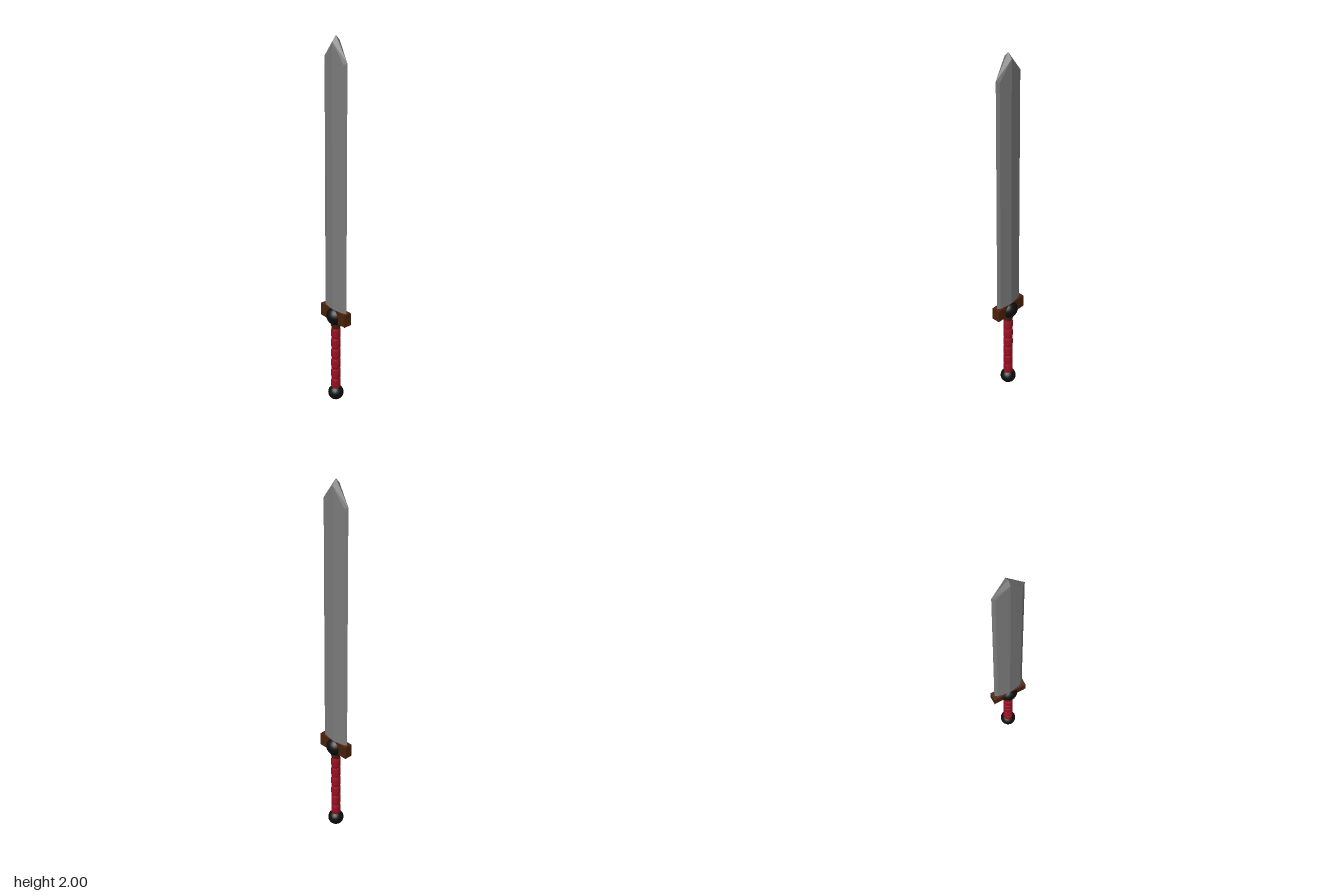
import * as THREE from 'three';

const mat = (color, flatShading = false) => new THREE.MeshStandardMaterial({ color, flatShading });

function add(group, name, geometry, material, y = 0) {
  const mesh = new THREE.Mesh(geometry, material);
  mesh.name = name;
  mesh.position.y = y;
  group.add(mesh);
  return mesh;
}

// Double-edged blade: a bevelled outline rising to a central ridge on both faces
function bladeGeometry() {
  const base = 0.52;
  const pos = [];
  const tri = (a, b, c, flip) => pos.push(...a, ...(flip ? c : b), ...(flip ? b : c));
  const quad = (a, b, c, d, flip) => { tri(a, b, c, flip); tri(a, c, d, flip); };
  for (const sx of [1, -1]) {
    for (const sz of [1, -1]) {
      const flip = sx * sz < 0;
      const p = (x, y, z) => [x * sx, y, z * sz];
      const edge = [p(0.083, base, 0), p(0.083, 1.88, 0), p(0, 2, 0)];
      const bevel = [p(0.068, base, 0.011), p(0.068, 1.872, 0.011), p(0, 1.972, 0.023)];
      const ridge = p(0, base, 0.023);
      for (let i = 0; i < 2; i++) quad(edge[i], edge[i + 1], bevel[i + 1], bevel[i], flip);
      quad(bevel[0], bevel[1], bevel[2], ridge, flip);
      tri(p(0, base, 0), edge[0], bevel[0], flip);
      tri(p(0, base, 0), bevel[0], ridge, flip);
    }
  }
  const g = new THREE.BufferGeometry();
  g.setAttribute('position', new THREE.Float32BufferAttribute(pos, 3));
  g.computeVertexNormals();
  return g;
}

// One rounded roll of the grip wrapping
function wrapGeometry(height, radius) {
  const h = height / 2;
  const profile = [
    [0, -h], [radius * 0.84, -h], [radius * 0.96, -h * 0.8], [radius, -h * 0.5],
    [radius, h * 0.5], [radius * 0.96, h * 0.8], [radius * 0.84, h], [0, h],
  ].map(([x, y]) => new THREE.Vector2(x, y));
  return new THREE.LatheGeometry(profile, 20);
}

export function createModel() {
  const sword = new THREE.Group();
  sword.name = 'sword';
  const steel = mat(0x7a7a7a, true);
  const wood = mat(0x4a210b);
  const black = mat(0x0c0c0c);
  const red = mat(0x990f22);

  add(sword, 'blade', bladeGeometry(), steel);

  // Crossguard with a round boss through its middle
  add(sword, 'crossguard', new THREE.BoxGeometry(0.188, 0.068, 0.045), wood, 0.514);
  add(sword, 'guardBoss', new THREE.SphereGeometry(0.05, 24, 16), black, 0.505);

  // Wooden core of the handle, flaring into the guard
  add(sword, 'handleCore', new THREE.CylinderGeometry(0.02, 0.02, 0.4, 16), wood, 0.26);
  add(sword, 'handleCollar', new THREE.CylinderGeometry(0.036, 0.021, 0.055, 16), wood, 0.458);

  // Stacked leather wraps
  const wraps = new THREE.Group();
  wraps.name = 'gripWraps';
  const count = 6, bottom = 0.07, pitch = 0.061;
  for (let i = 0; i < count; i++) {
    add(wraps, 'gripWrap', wrapGeometry(pitch, 0.025), red, bottom + (i + 0.5) * pitch);
  }
  sword.add(wraps);

  add(sword, 'pommel', new THREE.SphereGeometry(0.041, 24, 16), black, 0.041);
  return sword;
}
